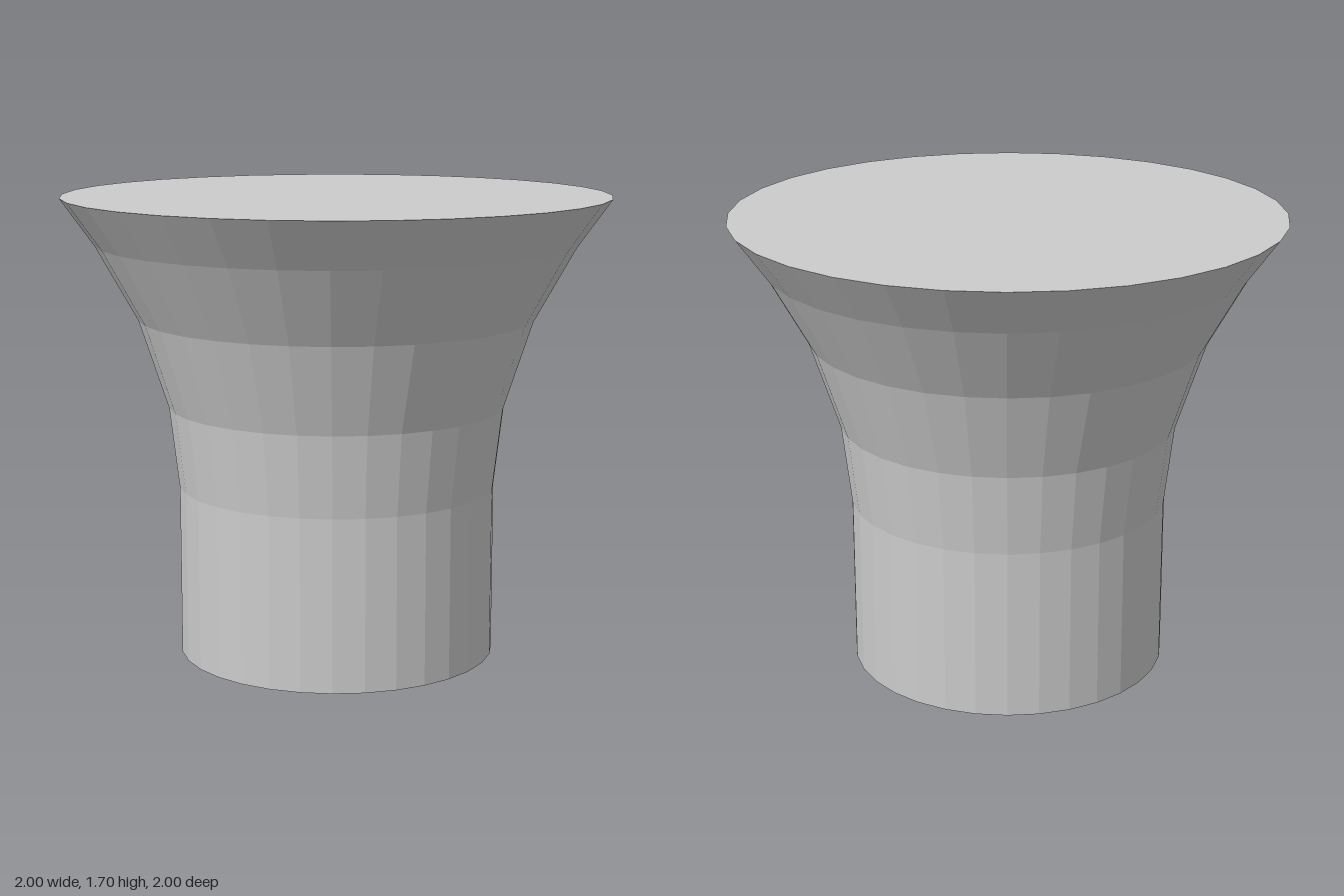
import * as THREE from 'three';

export function createModel() {
  const group = new THREE.Group();
  group.name = 'flaredPedestal';

  // Closed profile (radius, height): base cap, straight stem, flare, top cap
  const profile = [
    [0, 0], [0.585, 0], [0.585, 0.63], [0.62, 0.93],
    [0.726, 1.255], [0.877, 1.527], [1, 1.7], [0, 1.7],
  ].map(([r, y]) => new THREE.Vector2(r, y));

  const body = new THREE.Mesh(
    new THREE.LatheGeometry(profile, 32),
    new THREE.MeshStandardMaterial({ color: 0xcccccc, flatShading: true }),
  );
  body.name = 'flaredBody';
  group.add(body);
  return group;
}
